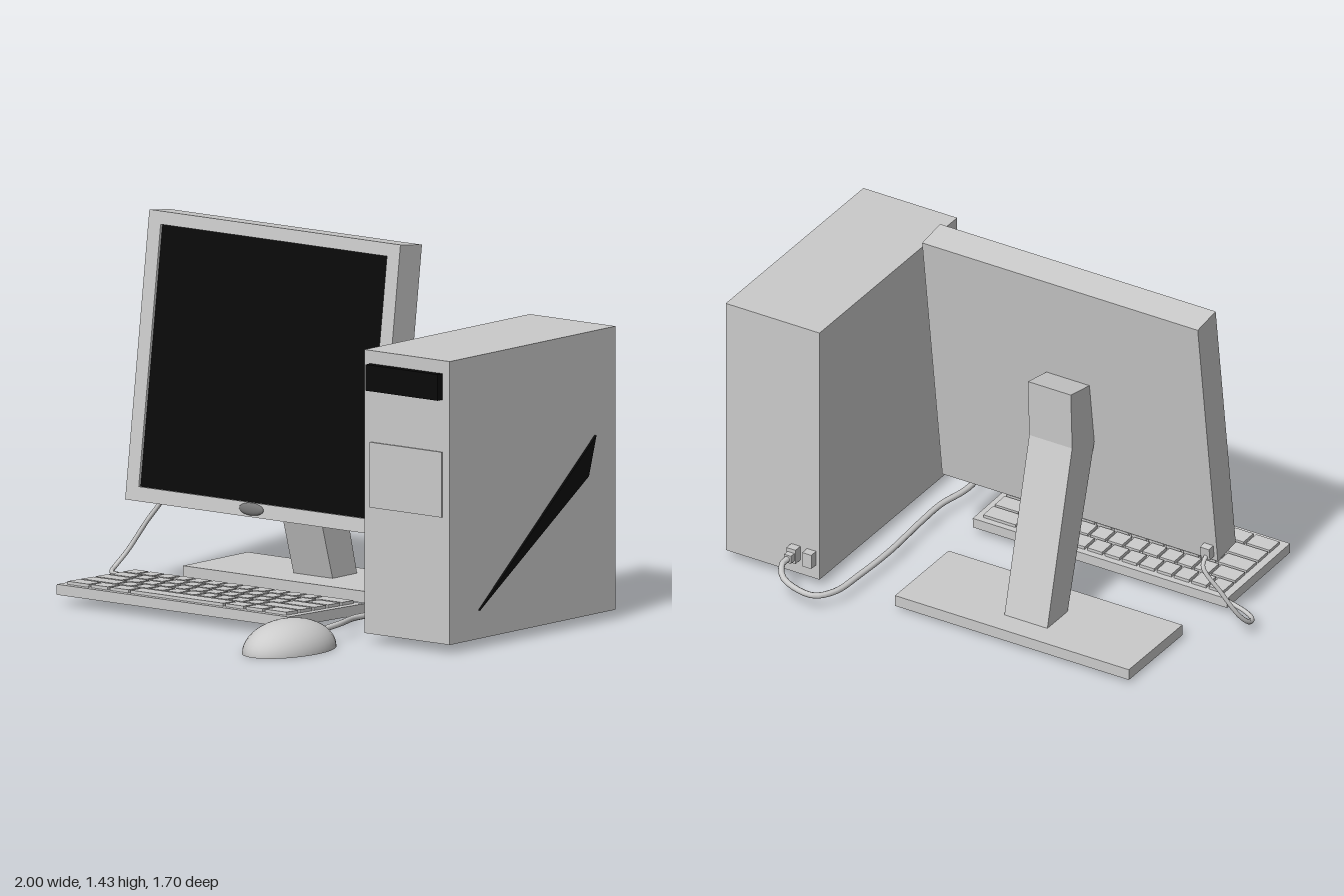
import * as THREE from 'three';

const mat = (color, extra = {}) => new THREE.MeshStandardMaterial({ color, ...extra });
const grey = mat(0xcccccc);
const greyOpen = mat(0xcccccc, { side: THREE.DoubleSide });
const black = mat(0x0a0a0a);
const light = mat(0xeeeeee);
const dark = mat(0x777777);

function add(parent, name, geometry, material = grey) {
  const mesh = new THREE.Mesh(geometry, material);
  mesh.name = name;
  parent.add(mesh);
  return mesh;
}

// Box given by its min and max on each axis
function block(parent, name, [x0, x1], [y0, y1], [z0, z1], material) {
  const mesh = add(parent, name, new THREE.BoxGeometry(x1 - x0, y1 - y0, z1 - z0), material);
  mesh.position.set((x0 + x1) / 2, (y0 + y1) / 2, (z0 + z1) / 2);
  return mesh;
}

function rectPath(PathType, x0, x1, y0, y1) {
  return new PathType([[x0, y0], [x1, y0], [x1, y1], [x0, y1]].map(p => new THREE.Vector2(...p)));
}

// Rectangular ring extruded along z
function frame(outer, inner, depth) {
  const shape = rectPath(THREE.Shape, ...outer);
  shape.holes.push(rectPath(THREE.Path, ...inner));
  return new THREE.ExtrudeGeometry(shape, { depth, bevelEnabled: false });
}

// Shallow slab that is hollow underneath, centred in x and z, standing on y = 0
function tray(name, w, h, d, wall, plate) {
  const group = new THREE.Group();
  group.name = name;
  const ring = frame([-w / 2, w / 2, -d / 2, d / 2],
    [-w / 2 + wall, w / 2 - wall, -d / 2 + wall, d / 2 - wall], h - plate);
  ring.rotateX(-Math.PI / 2);
  add(group, name + 'Rim', ring);
  block(group, name + 'Top', [-w / 2, w / 2], [h - plate, h], [-d / 2, d / 2]);
  return group;
}

// Profile given as [z, y] points, extruded from x0 to x1
function sideExtrude(points, x0, x1) {
  const shape = new THREE.Shape(points.map(([z, y]) => new THREE.Vector2(-z, y)));
  const geo = new THREE.ExtrudeGeometry(shape, { depth: x1 - x0, bevelEnabled: false });
  return geo.rotateY(Math.PI / 2).translate(x0, 0, 0);
}

function cord(parent, name, points, radius) {
  const curve = new THREE.CatmullRomCurve3(points.map(p => new THREE.Vector3(...p)));
  add(parent, name, new THREE.TubeGeometry(curve, 60, radius, 8));
}

function makeTower() {
  const tower = new THREE.Group();
  tower.name = 'tower';
  block(tower, 'towerCase', [0.575, 0.99], [0.035, 1.12], [-0.68, 0.31]);
  block(tower, 'driveSlot', [0.605, 0.955], [0.97, 1.07], [0.31, 0.34], black);
  block(tower, 'frontPanel', [0.605, 0.955], [0.52, 0.77], [0.31, 0.317], light);
  add(tower, 'sideSlash', sideExtrude([[0.14, 0.145], [-0.51, 0.57], [-0.555, 0.72]], 0.99, 1), black);
  // Plugs on the back
  for (const x of [0.61, 0.68]) {
    block(tower, 'plug', [x - 0.02, x + 0.02], [0.095, 0.155], [-0.715, -0.68]);
  }
  block(tower, 'plugNeck', [0.665, 0.695], [0.107, 0.14], [-0.74, -0.715]);
  return tower;
}

function makeMonitor() {
  const monitor = new THREE.Group();
  monitor.name = 'monitor';

  // Tilted display, hinged at its lower front edge
  const display = new THREE.Group();
  display.name = 'display';
  display.position.set(-0.27, 0.335, -0.05);
  display.rotation.x = -0.132;
  block(display, 'displayBack', [-0.61, 0.61], [0, 1.1], [-0.13, -0.013]);
  const bezel = add(display, 'bezel', frame([-0.61, 0.61, 0, 1.1], [-0.55, 0.55, 0.055, 1.05], 0.013));
  bezel.position.z = -0.013;
  block(display, 'screen', [-0.55, 0.55], [0.055, 1.05], [-0.013, -0.011], black);
  const button = add(display, 'powerButton', new THREE.SphereGeometry(1, 16, 10), dark);
  button.scale.set(0.06, 0.024, 0.012);
  button.position.y = 0.03;
  block(display, 'displayPlug', [-0.595, -0.555], [0.02, 0.07], [-0.16, -0.13]);
  monitor.add(display);

  // Bent post and hollow foot
  add(monitor, 'standPost', sideExtrude([
    [-0.43, 0.035], [-0.22, 0.745], [-0.25, 0.97], [-0.40, 1.0], [-0.39, 0.76], [-0.575, 0.035],
  ].reverse(), -0.365, -0.175));
  const foot = tray('standFoot', 1.035, 0.045, 0.385, 0.02, 0.012);
  foot.position.set(-0.2675, 0.015, -0.4725);
  monitor.add(foot);
  return monitor;
}

function makeKeyboard() {
  const keyboard = tray('keyboard', 1.125, 0.04, 0.455, 0.015, 0.025);
  keyboard.position.set(-0.2725, 0.033, 0.1875);
  keyboard.rotation.x = -0.025;
  // Key widths per row, back to front, in relative units
  const rows = [
    [1, 1, 1, 1, 1, 1, 1, 1, 1, 1, 1, 1, 2],
    [1.5, 1, 1, 1, 1, 1, 1, 1, 1, 1, 1, 1, 1.5],
    [1.8, 1, 1, 1, 1, 1, 1, 1, 1, 1, 1, 2.2],
    [2.3, 1, 1, 1, 1, 1, 1, 1, 1, 1, 2.7],
    [1.5, 1.2, 1.3, 6, 1.3, 1.2, 1.5],
  ];
  const unit = 1.075 / 14, pitch = 0.415 / rows.length, gap = 0.012;
  rows.forEach((widths, r) => {
    let x = -0.5375;
    const z = -0.2075 + r * pitch;
    for (const w of widths) {
      block(keyboard, 'key', [x + gap / 2, x + w * unit - gap / 2], [0.04, 0.052],
        [z + gap / 2, z + pitch - gap / 2]);
      x += w * unit;
    }
  });
  return keyboard;
}

function makeMouse() {
  // Half ellipsoid, open underneath
  const geo = new THREE.SphereGeometry(1, 32, 12, 0, Math.PI * 2, 0, Math.PI / 2);
  const mouse = new THREE.Mesh(geo, greyOpen);
  mouse.name = 'mouse';
  mouse.scale.set(0.143, 0.12, 0.222);
  mouse.position.set(0.462, 0, 0.62);
  return mouse;
}

export function createModel() {
  const model = new THREE.Group();
  model.name = 'desktopComputer';
  model.add(makeTower(), makeMonitor(), makeKeyboard(), makeMouse());

  cord(model, 'mouseCord', [
    [0.46, 0.05, 0.43], [0.465, 0.06, 0.32], [0.43, 0.06, 0.2], [0.43, 0.06, 0.12],
    [0.452, 0.06, 0], [0.45, 0.06, -0.15], [0.437, 0.06, -0.4], [0.443, 0.06, -0.6],
    [0.46, 0.06, -0.76], [0.515, 0.065, -0.835], [0.64, 0.095, -0.83], [0.68, 0.12, -0.78],
    [0.68, 0.123, -0.72],
  ], 0.012);
  cord(model, 'keyboardCord', [
    [-0.845, 0.35, -0.2], [-0.855, 0.32, -0.245], [-0.92, 0.22, -0.225], [-0.975, 0.11, -0.18],
    [-0.99, 0.06, -0.13], [-0.97, 0.045, -0.08], [-0.92, 0.045, -0.05], [-0.82, 0.055, -0.03],
  ], 0.009);
  return model;
}
